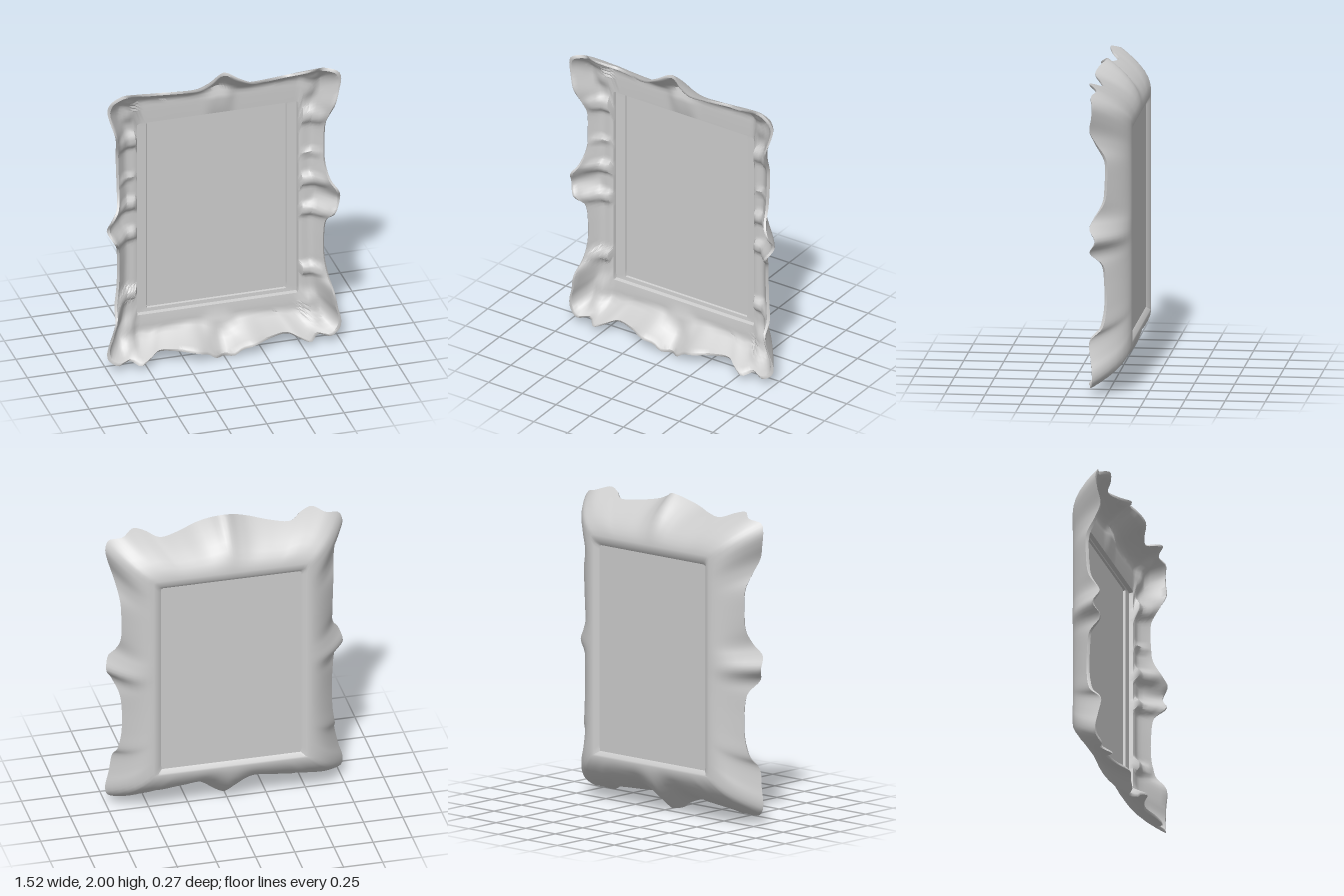
import * as THREE from 'three';
import { toCreasedNormals } from 'three/addons/utils/BufferGeometryUtils.js';

const V = (x, y, z) => new THREE.Vector3(x, y, z);
const lerp = THREE.MathUtils.lerp;

// Scalloped lip, right half: bottom centre, up the side, to the top crest
const LIP = [
  [0, 0.005, 0.07], [0.06, 0.015, 0.11], [0.11, 0.05, 0.115], [0.18, 0.075, 0.135],
  [0.3, 0.085, 0.08], [0.42, 0.085, 0.05], [0.49, 0.06, 0.1], [0.55, 0.04, 0.125],
  [0.61, 0.06, 0.07], [0.69, 0.05, 0.1], [0.75, 0.09, 0.08],
  [0.757, 0.15, 0.08], [0.735, 0.23, 0.09], [0.71, 0.35, 0.1], [0.695, 0.43, 0.025],
  [0.675, 0.55, 0], [0.67, 0.7, 0], [0.68, 0.83, 0.02], [0.715, 0.91, 0.1],
  [0.755, 0.99, 0.06], [0.735, 1.07, 0.1], [0.695, 1.13, 0.07], [0.675, 1.23, 0.01],
  [0.675, 1.36, -0.005], [0.68, 1.5, 0], [0.695, 1.6, 0.06], [0.715, 1.68, 0.1],
  [0.745, 1.78, 0.085], [0.757, 1.85, 0.08], [0.735, 1.905, 0.09],
  [0.65, 1.93, 0.065], [0.57, 1.955, 0.12], [0.5, 1.94, 0.1], [0.42, 1.91, 0.05],
  [0.3, 1.915, 0.08], [0.17, 1.935, 0.13], [0.09, 1.965, 0.115], [0, 2, 0.07],
];

// Carved lumps on the front: |x|, y, x radius, y radius, height
const LUMPS = [
  [0.59, 1.55, 0.08, 0.05, 0.035], [0.6, 1.29, 0.06, 0.02, 0.02],
  [0.6, 1.1, 0.08, 0.04, 0.035], [0.6, 0.89, 0.08, 0.04, 0.035],
  [0.59, 0.47, 0.08, 0.04, 0.035], [0.59, 1.79, 0.045, 0.1, 0.035],
  [0.59, 0.2, 0.045, 0.1, 0.035], [0, 1.75, 0.09, 0.07, 0.025], [0, 0.17, 0.1, 0.05, 0.02],
];
const relief = (x, y) => LUMPS.reduce((sum, [cx, cy, rx, ry, h]) =>
  sum + h * Math.exp(-(((Math.abs(x) - cx) / rx) ** 4) - ((y - cy) / ry) ** 4), 0);

// Point on a rectangle that faces lip point p
function onRect(p, halfW, y0, y1, z) {
  const nx = p.x / 0.74, ny = (p.y - 0.98) / 0.92;
  const m = Math.max(Math.abs(nx), Math.abs(ny));
  return V(nx / m * halfW, (y0 + y1) / 2 + ny / m * (y1 - y0) / 2, z);
}

// Dished back surface between the rear ridge (f = 0) and the lip (f = 1);
// the waves of the lip die away towards the ridge
function onShell(p, f) {
  const r = onRect(p, 0.5, 0.3, 1.7, -0.14);
  const z = lerp(r.z, 0.045, f) + (p.z - 0.045) * f ** 2.5 - 0.16 * f * (1 - f);
  return V(lerp(r.x, p.x, f), lerp(r.y, p.y, f), z);
}

// Front surface: shell plus thickness, a level floor, and carving that fades at the lip
function onFront(p, f) {
  const q = onShell(p, f);
  const fade = Math.min(1, (1 - f) / 0.25) * Math.min(1, f / 0.15);
  const z = q.z + 0.032 * Math.min(1, (1 - f) / 0.06);
  q.z = Math.max(z, -0.055) + relief(q.x, q.y) * fade;
  return q;
}

// One cross-section, from the rear rebate over the lip to the front opening
function section(p) {
  const back = [
    onRect(p, 0.445, 0.335, 1.635, -0.112),
    onRect(p, 0.475, 0.312, 1.665, -0.138),
    ...[0, 0.15, 0.3, 0.45, 0.6, 0.75, 0.88, 0.96, 1].map(f => onShell(p, f)),
  ];
  const front = [
    ...[0.97, 0.93, 0.86, 0.78, 0.7, 0.6, 0.5, 0.4, 0.3, 0.2].map(f => onFront(p, f)),
    onRect(p, 0.522, 0.3, 1.65, -0.06),
    onRect(p, 0.518, 0.305, 1.645, -0.086),
    onRect(p, 0.455, 0.328, 1.637, -0.088),
    onRect(p, 0.448, 0.333, 1.632, -0.108),
  ];
  return [...back, ...front];
}

function frameGeometry() {
  const right = LIP.map(c => V(...c));
  const left = LIP.slice(1, -1).reverse().map(([x, y, z]) => V(-x, y, z));
  const curve = new THREE.CatmullRomCurve3([...right, ...left], true, 'centripetal');
  const n = 300;
  const sections = curve.getSpacedPoints(n).slice(0, n).map(section);
  const m = sections[0].length;
  const index = [];
  for (let i = 0; i < n; i++) {
    const k = (i + 1) % n;
    for (let j = 0; j < m - 1; j++) {
      const a = i * m + j, b = k * m + j;
      index.push(a, b, a + 1, b, b + 1, a + 1);
    }
  }
  const geo = new THREE.BufferGeometry().setFromPoints(sections.flat());
  geo.setIndex(index);
  return toCreasedNormals(geo, 0.8);
}

export function createModel() {
  const group = new THREE.Group();
  group.name = 'pictureFrame';
  const material = new THREE.MeshStandardMaterial({ color: 0xcccccc });

  // Carved, dished moulding
  const moulding = new THREE.Mesh(frameGeometry(), material);
  moulding.name = 'carvedFrame';
  group.add(moulding);

  // Flat picture panel
  const panel = new THREE.Mesh(new THREE.BoxGeometry(0.9, 1.31, 0.012), material);
  panel.name = 'picturePanel';
  panel.position.set(0, 0.984, -0.108);
  group.add(panel);

  return group;
}
